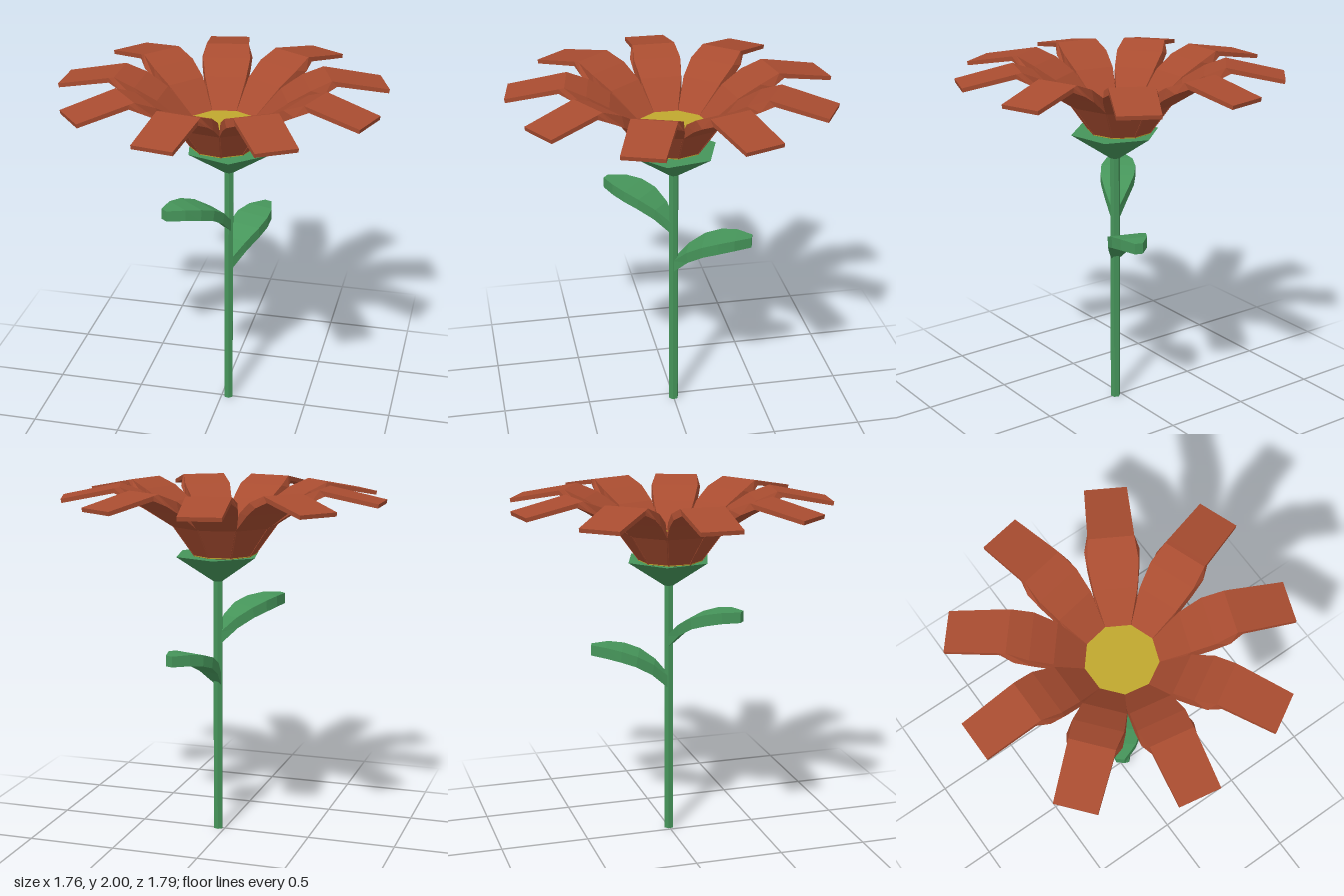
import * as THREE from 'three';

const paint = (name, color) => {
  const m = new THREE.MeshStandardMaterial({ color, flatShading: true });
  m.name = name;
  return m;
};

// Loft along +x through four-cornered sections:
// [top x, top y, top half width, bottom x, bottom y, bottom half width]
function loft(sections) {
  const rings = sections.map(([tx, ty, tw, bx, by, bw]) => [
    [tx, ty, -tw], [tx, ty, tw], [bx, by, bw], [bx, by, -bw],
  ]);
  const pos = [];
  const quad = (a, b, c, d) => [a, b, c, a, c, d].forEach((p) => pos.push(...p));
  for (let i = 0; i < rings.length - 1; i++) {
    const a = rings[i], b = rings[i + 1];
    for (let j = 0; j < 4; j++) {
      const k = (j + 1) % 4;
      quad(a[j], a[k], b[k], b[j]);
    }
  }
  const s = rings[0], e = rings[rings.length - 1];
  quad(s[0], s[3], s[2], s[1]);
  quad(e[0], e[1], e[2], e[3]);
  const g = new THREE.BufferGeometry();
  g.setAttribute('position', new THREE.Float32BufferAttribute(pos, 3));
  g.computeVertexNormals();
  return g;
}

export function createModel() {
  const group = new THREE.Group();
  const petalRed = paint('petal rust', 0xa84c30);
  const leafGreen = paint('leaf green', 0x46955a);
  const discYellow = paint('disc yellow', 0xc0a82e);

  const add = (name, geometry, material, x, y, angle = 0) => {
    const m = new THREE.Mesh(geometry, material);
    m.name = name;
    m.position.set(x, y, 0);
    m.rotation.y = angle;
    group.add(m);
    return m;
  };

  // Six-sided stem and the cup under the bloom
  const stemX = 0.04, twist = 0.2;
  add('stem', new THREE.CylinderGeometry(0.028, 0.028, 1.5, 6, 1, false, twist), leafGreen, stemX, 0.75);
  add('sepalCup', new THREE.CylinderGeometry(0.25, 0.028, 0.15, 6, 1, false, twist), leafGreen, stemX, 1.535);

  // Nine-sided flower centre
  const bloomX = 0.004;
  add('flowerCentre', new THREE.CylinderGeometry(0.197, 0.18, 0.13, 9, 1, false, Math.PI / 2), discYellow, bloomX, 1.677);

  // Nine petals rising from the centre, then bending down at the tip
  const petal = loft([
    [0.18, 1.735, 0.065, 0.165, 1.61, 0.065],
    [0.335, 1.885, 0.115, 0.28, 1.78, 0.106],
    [0.455, 1.955, 0.132, 0.44, 1.885, 0.135],
    [0.57, 2.0, 0.12, 0.53, 1.935, 0.143],
    [0.60, 1.994, 0.12, 0.60, 1.968, 0.12],
    [0.889, 1.937, 0.113, 0.885, 1.915, 0.113],
  ]);
  for (let i = 0; i < 9; i++) {
    add('petal', petal, petalRed, bloomX, 0, Math.PI + (i * Math.PI * 2) / 9);
  }

  // Two arching leaves on opposite sides of the stem
  const leaf = loft([
    [0.0, 0.07, 0.022, 0.0, 0.0, 0.022],
    [0.08, 0.15, 0.065, 0.09, 0.09, 0.065],
    [0.17, 0.205, 0.095, 0.18, 0.145, 0.095],
    [0.26, 0.235, 0.098, 0.265, 0.172, 0.098],
    [0.35, 0.25, 0.075, 0.35, 0.187, 0.075],
    [0.44, 0.25, 0.022, 0.44, 0.19, 0.022],
  ]);
  add('lowerLeaf', leaf, leafGreen, stemX, 0.86, THREE.MathUtils.degToRad(71));
  add('upperLeaf', leaf, leafGreen, stemX, 1.1, THREE.MathUtils.degToRad(-130));

  return group;
}
